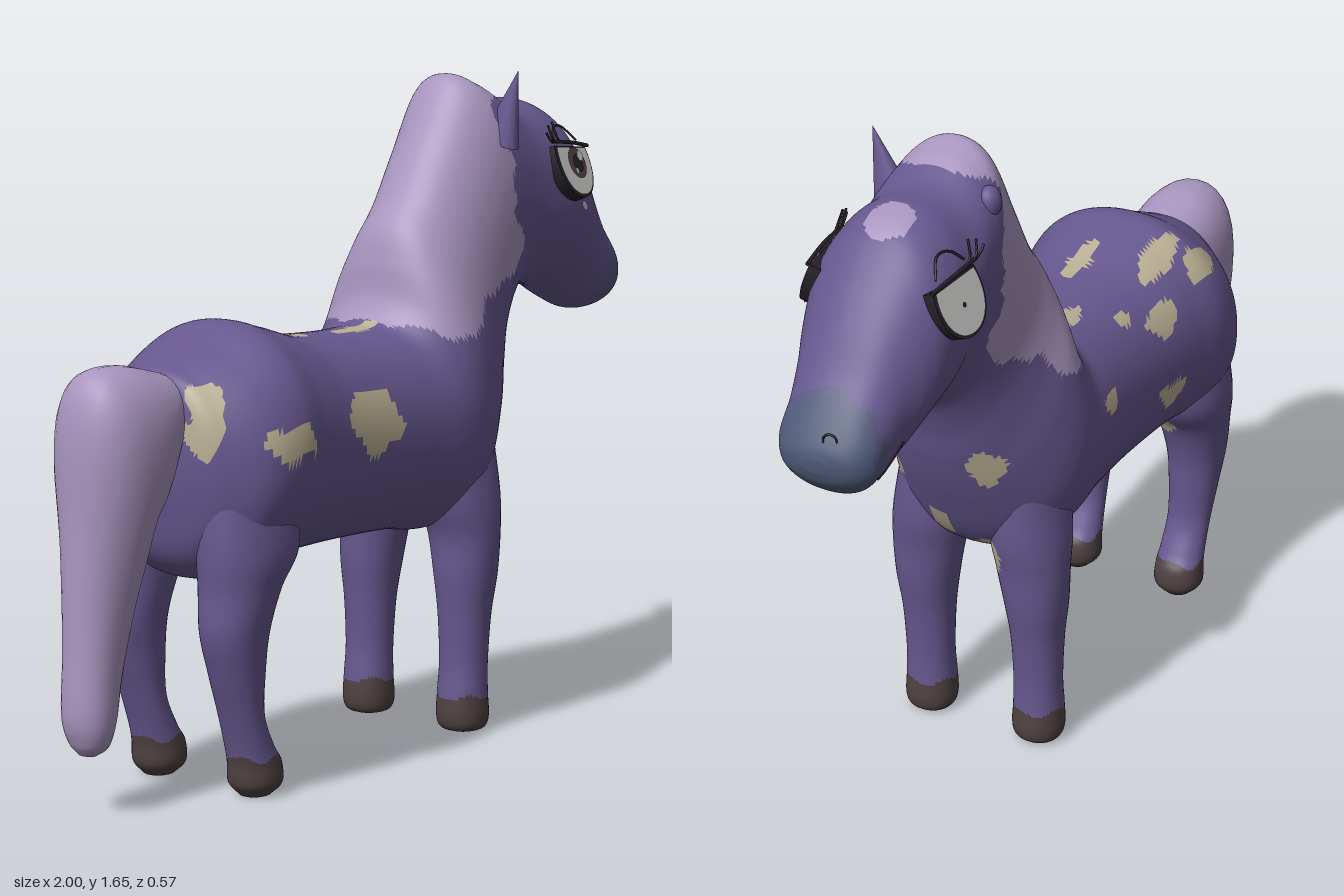
import * as THREE from 'three';

const mat = (name, color, side = THREE.FrontSide) => {
  const m = new THREE.MeshStandardMaterial({ color, side });
  m.name = name;
  return m;
};
const D = THREE.DoubleSide;
const purple = mat('purple coat', 0x66588f);
const lilac = mat('lilac hair', 0xa895bf);
const cream = mat('cream spots', 0xbbb094);
const brown = mat('brown hoof', 0x4f4142);
const slate = mat('slate muzzle', 0x4f5a78);
const slateEdge = mat('muzzle edge', 0x595980);
const dark = mat('dark line', 0x252028, D);
const white = mat('eye white', 0xc6c6c4, D);
const iris = mat('iris brown', 0x54403f, D);
const lid = mat('eyelid lilac', 0x9d8db5, D);

// Smooth tube of elliptical rings; section = [x1,y1, x2,y2, halfWidth, z]
// where the two points are opposite sides of the ring in the xy plane.
function loft(sections, rows, cols) {
  const curve = f => new THREE.CatmullRomCurve3(sections.map(f), false, 'catmullrom', 0.5);
  const A = curve(s => new THREE.Vector3(s[0], s[1], s[5] || 0));
  const B = curve(s => new THREE.Vector3(s[2], s[3], s[5] || 0));
  const W = curve(s => new THREE.Vector3(s[4], 0, 0));
  const soft = v => Math.sign(v) * Math.abs(v) ** 0.92;
  const at = (u, ang) => {
    const a = A.getPoint(u), b = B.getPoint(u);
    const c = a.clone().add(b).multiplyScalar(0.5);
    const p = c.clone().addScaledVector(a.sub(b), soft(Math.cos(ang)) / 2);
    p.z += W.getPoint(u).x * soft(Math.sin(ang));
    return p;
  };
  const pos = [], idx = [];
  for (let i = 0; i <= rows; i++)
    for (let j = 0; j < cols; j++) pos.push(...at(i / rows, (j / cols) * Math.PI * 2).toArray());
  for (const u of [0, 1]) pos.push(...A.getPoint(u).add(B.getPoint(u)).multiplyScalar(0.5).toArray());
  const start = (rows + 1) * cols;
  for (let j = 0; j < cols; j++) {
    const k = (j + 1) % cols;
    for (let i = 0; i < rows; i++) {
      const p = i * cols, q = p + cols;
      idx.push(p + j, p + k, q + j, q + j, p + k, q + k);
    }
    idx.push(start, k, j, start + 1, rows * cols + j, rows * cols + k);
  }
  const g = new THREE.BufferGeometry();
  g.setAttribute('position', new THREE.Float32BufferAttribute(pos, 3));
  g.setIndex(idx);
  g.computeVertexNormals();
  g.userData.at = at;
  return g;
}

// Sort triangles into material groups by a rule on their centre
function paint(geo, materials, rule) {
  const pos = geo.attributes.position, idx = geo.index.array;
  const bins = materials.map(() => []);
  const c = new THREE.Vector3(), v = new THREE.Vector3();
  for (let t = 0; t < idx.length; t += 3) {
    c.set(0, 0, 0);
    for (let k = 0; k < 3; k++) c.add(v.fromBufferAttribute(pos, idx[t + k]));
    c.divideScalar(3);
    bins[materials.indexOf(rule(c))].push(idx[t], idx[t + 1], idx[t + 2]);
  }
  geo.setIndex(bins.flat());
  let s = 0;
  bins.forEach((b, i) => { geo.addGroup(s, b.length, i); s += b.length; });
  return geo;
}

// Coat spots as ellipsoids: x, y, z, rx, ry, rz
const spots = [
  [-0.2, 0.85, 0.25, 0.1, 0.08, 0.1], [-0.54, 0.84, 0.28, 0.08, 0.04, 0.08],
  [0.36, 0.75, 0.18, 0.03, 0.035, 0.06], [-0.7, 0.9, 0.14, 0.04, 0.1, 0.06],
  [-0.5, 1.0, -0.21, 0.07, 0.07, 0.03], [-0.28, 0.96, -0.22, 0.08, 0.06, 0.03],
  [-0.4, 1.05, -0.14, 0.09, 0.08, 0.035], [-0.16, 1.0, -0.165, 0.03, 0.06, 0.02],
  [-0.03, 1.03, -0.08, 0.065, 0.06, 0.022], [-0.28, 1.05, 0.02, 0.09, 0.06, 0.028],
  [-0.02, 1.04, 0.02, 0.08, 0.06, 0.028], [0.02, 0.86, -0.24, 0.035, 0.03, 0.06],
  [-0.28, 0.74, -0.26, 0.06, 0.035, 0.06], [0.44, 0.84, -0.115, 0.08, 0.05, 0.04],
  [0.36, 0.625, 0.045, 0.08, 0.035, 0.03], [0.33, 0.53, -0.06, 0.07, 0.045, 0.04],
  [-0.5, 0.52, -0.11, 0.06, 0.05, 0.05],
];
const inSpot = p => {
  const x = p.x + 0.01 * Math.sin(61 * p.y + 47 * p.z);
  const y = p.y + 0.01 * Math.sin(57 * p.x + 31 * p.z);
  return spots.some(s => ((x - s[0]) / s[3]) ** 2 + ((y - s[1]) / s[4]) ** 2 + ((p.z - s[2]) / s[5]) ** 2 < 1);
};

// Side outline of the mane area on the neck
const mane = [[0.04, 1.04], [0.2, 1.0], [0.3, 1.09], [0.42, 1.13], [0.5, 1.19], [0.44, 1.3],
  [0.43, 1.45], [0.39, 1.5], [0.4, 1.57], [0.47, 1.62], [0.3, 1.8], [0, 1.3]];
function inMane(p) {
  const x = p.x + 0.008 * Math.sin(70 * p.y), y = p.y + 0.008 * Math.sin(60 * p.x);
  let inside = false;
  mane.forEach(([ax, ay], i) => {
    const [bx, by] = mane[(i + 1) % mane.length];
    if (ay > y !== by > y && x < ((bx - ax) * (y - ay)) / (by - ay) + ax) inside = !inside;
  });
  return inside;
}
const ballDist = (p, x, y, z) => Math.hypot(p.x - x, p.y - y, p.z - z);

function bodyColour(p) {
  const m = ballDist(p, 0.98, 1.12, 0) + 0.006 * Math.sin(60 * p.y + 50 * p.z);
  if (m < 0.125) return slate;
  if (m < 0.15) return slateEdge;
  if (inMane(p) || ballDist(p, 0.66, 1.56, 0) < 0.06) return lilac;
  return inSpot(p) ? cream : purple;
}
const legColour = p => {
  if (p.y < 0.095 + 0.008 * Math.sin(60 * p.x + 40 * p.z)) return brown;
  return inSpot(p) ? cream : purple;
};

// Rump, trunk, neck and head in one skin: top point, bottom point, half width
const bodySections = [
  [-0.745, 0.89, -0.745, 0.79, 0.05], [-0.725, 0.99, -0.73, 0.68, 0.15], [-0.68, 1.02, -0.7, 0.57, 0.21],
  [-0.6, 1.055, -0.63, 0.51, 0.27], [-0.5, 1.1, -0.52, 0.51, 0.285], [-0.4, 1.08, -0.4, 0.525, 0.265],
  [-0.27, 1.045, -0.27, 0.53, 0.248], [-0.13, 1.035, -0.12, 0.53, 0.24], [-0.02, 1.035, 0.05, 0.525, 0.243],
  [0.04, 1.045, 0.2, 0.51, 0.25], [0.075, 1.1, 0.33, 0.57, 0.25], [0.09, 1.19, 0.42, 0.72, 0.225],
  [0.115, 1.27, 0.475, 0.85, 0.19], [0.17, 1.35, 0.505, 0.95, 0.17], [0.25, 1.49, 0.54, 1.03, 0.165],
  [0.335, 1.63, 0.585, 1.075, 0.165], [0.41, 1.625, 0.64, 1.085, 0.17], [0.51, 1.575, 0.69, 1.08, 0.178],
  [0.61, 1.57, 0.73, 1.07, 0.182], [0.69, 1.54, 0.77, 1.055, 0.178], [0.76, 1.47, 0.805, 1.035, 0.163],
  [0.83, 1.38, 0.845, 1.015, 0.142], [0.895, 1.28, 0.89, 1.0, 0.13], [0.955, 1.2, 0.94, 1.008, 0.122],
  [0.99, 1.145, 0.98, 1.045, 0.085], [1.0, 1.115, 0.997, 1.08, 0.03],
];
// Legs: front point, back point, half width, z
const frontLeg = [
  [0.36, 0.76, 0.12, 0.76, 0.07, 0.13], [0.36, 0.6, 0.14, 0.6, 0.095, 0.135], [0.345, 0.5, 0.172, 0.5, 0.09, 0.145],
  [0.335, 0.4, 0.176, 0.4, 0.078, 0.152], [0.317, 0.3, 0.185, 0.3, 0.066, 0.153], [0.306, 0.18, 0.19, 0.18, 0.061, 0.153],
  [0.306, 0.1, 0.183, 0.1, 0.063, 0.153], [0.31, 0.04, 0.18, 0.04, 0.065, 0.153], [0.3, 0.01, 0.19, 0.01, 0.056, 0.153],
  [0.275, 0, 0.215, 0, 0.03, 0.153],
];
const hindLeg = [
  [-0.44, 0.78, -0.7, 0.78, 0.08, 0.15], [-0.44, 0.6, -0.71, 0.6, 0.1, 0.16], [-0.505, 0.5, -0.705, 0.5, 0.09, 0.16],
  [-0.54, 0.4, -0.708, 0.4, 0.076, 0.16], [-0.55, 0.3, -0.68, 0.3, 0.065, 0.158], [-0.55, 0.2, -0.645, 0.2, 0.058, 0.155],
  [-0.515, 0.12, -0.62, 0.12, 0.06, 0.153], [-0.488, 0.08, -0.612, 0.08, 0.063, 0.153],
  [-0.485, 0.03, -0.608, 0.03, 0.063, 0.153], [-0.51, 0, -0.585, 0, 0.035, 0.153],
];
const tailSections = [
  [-0.68, 0.9, -0.68, 0.99, 0.07], [-0.72, 0.8, -0.75, 1.01, 0.11], [-0.75, 0.7, -0.85, 1.03, 0.128],
  [-0.785, 0.63, -0.94, 1.01, 0.128], [-0.81, 0.54, -0.982, 0.9, 0.115], [-0.84, 0.42, -0.987, 0.68, 0.085],
  [-0.868, 0.3, -0.992, 0.42, 0.068], [-0.885, 0.22, -1.0, 0.25, 0.065], [-0.905, 0.165, -0.985, 0.18, 0.05],
  [-0.93, 0.145, -0.965, 0.148, 0.02],
];

function eyeShape(s) {
  const e = new THREE.Shape();
  e.moveTo(-0.078 * s, 0.055 * s);
  e.lineTo(0.078 * s, 0.05 * s);
  e.bezierCurveTo(0.098 * s, -0.03 * s, 0.055 * s, -0.085 * s, 0, -0.085 * s);
  e.bezierCurveTo(-0.06 * s, -0.085 * s, -0.098 * s, -0.03 * s, -0.078 * s, 0.055 * s);
  return e;
}

export function createModel() {
  const root = new THREE.Group();
  root.name = 'horse';
  const add = (name, geo, material, parent = root) => {
    const m = new THREE.Mesh(geo, material);
    m.name = name;
    parent.add(m);
    return m;
  };
  const tube = (name, points, r, parent) => add(name, new THREE.TubeGeometry(
    new THREE.CatmullRomCurve3(points.map(p => (p.isVector3 ? p : new THREE.Vector3(...p)))), 14, r, 6), dark, parent);

  // Body and tail
  const coat = [purple, lilac, cream, slate, slateEdge];
  const body = loft(bodySections, 240, 90);
  add('body', paint(body, coat, bodyColour), coat);
  add('tail', loft(tailSections, 50, 32), lilac);

  // Legs with hooves
  const legMats = [purple, brown, cream];
  for (const [name, sections] of [['frontLeg', frontLeg], ['hindLeg', hindLeg]])
    for (const side of [1, -1]) {
      const s = sections.map(r => [...r.slice(0, 5), r[5] * side]);
      add(name, paint(loft(s, 70, 40), legMats, legColour), legMats);
    }

  // Upright ear and small folded ear
  const ear = add('ear', new THREE.ConeGeometry(0.055, 0.19, 16), purple);
  ear.position.set(0.42, 1.56, 0.155);
  ear.rotation.x = 0.3;
  ear.scale.set(0.6, 1, 1);
  const folded = add('foldedEar', new THREE.SphereGeometry(0.04, 16, 12), purple);
  folded.position.set(0.43, 1.53, -0.125);
  folded.scale.set(0.8, 1, 0.7);

  // Eyes
  for (const side of [1, -1]) {
    const mirror = new THREE.Group();
    mirror.name = side > 0 ? 'eyeNear' : 'eyeFar';
    mirror.scale.z = side;
    root.add(mirror);
    const eye = new THREE.Group();
    eye.position.set(0.665, 1.4, 0.184);
    eye.rotation.set(-0.38, 0.12, 0);
    mirror.add(eye);
    const disc = (name, r, x, y, z, m) => {
      const d = add(name, new THREE.CircleGeometry(r, 24), m, eye);
      d.position.set(x, y, z);
      return d;
    };
    const rim = add('eyeRim', new THREE.ExtrudeGeometry(eyeShape(1), { depth: 0.03, bevelEnabled: false }), dark, eye);
    rim.position.z = -0.03;
    add('eyeWhite', new THREE.ShapeGeometry(eyeShape(0.92)), white, eye).position.z = 0.003;
    if (side > 0) {
      disc('iris', 0.042, 0.005, 0.006, 0.005, iris);
      disc('pupil', 0.024, 0.005, 0.004, 0.007, dark);
      disc('highlight', 0.014, 0.022, 0.024, 0.009, white);
      disc('smallHighlight', 0.008, -0.012, -0.016, 0.009, white);
      disc('tear', 0.013, -0.02, -0.108, 0.004, lid);
    } else disc('pupil', 0.006, 0, -0.01, 0.006, dark);
    // Lid line, crease and lashes
    tube('lidLine', [[-0.09, 0.065, 0.004], [0, 0.06, 0.008], [0.085, 0.052, 0.004]], 0.005, eye);
    tube('lidCrease', [[-0.06, 0.075, -0.005], [-0.03, 0.108, -0.012], [0.01, 0.112, -0.014], [0.05, 0.07, -0.004]], 0.003, eye);
    for (const [x, y] of [[-0.118, 0.085], [-0.1, 0.105], [-0.075, 0.115]])
      tube('lash', [[x + 0.035, 0.062, 0.002], [x + 0.012, 0.072, 0.008], [x, y, 0.012]], 0.003, eye);
  }

  // Mouth corner and nostril drawn on the skin
  const at = body.userData.at;
  tube('mouth', [[0.835, 4.25], [0.85, 4.1], [0.875, 4.05], [0.9, 4.2]].map(([u, a]) => at(u, a)), 0.004);
  const nostril = add('nostril', new THREE.TorusGeometry(0.016, 0.0025, 6, 20), dark);
  nostril.position.copy(at(0.945, -0.28));
  nostril.rotation.y = Math.PI / 2 + 0.2;
  return root;
}
